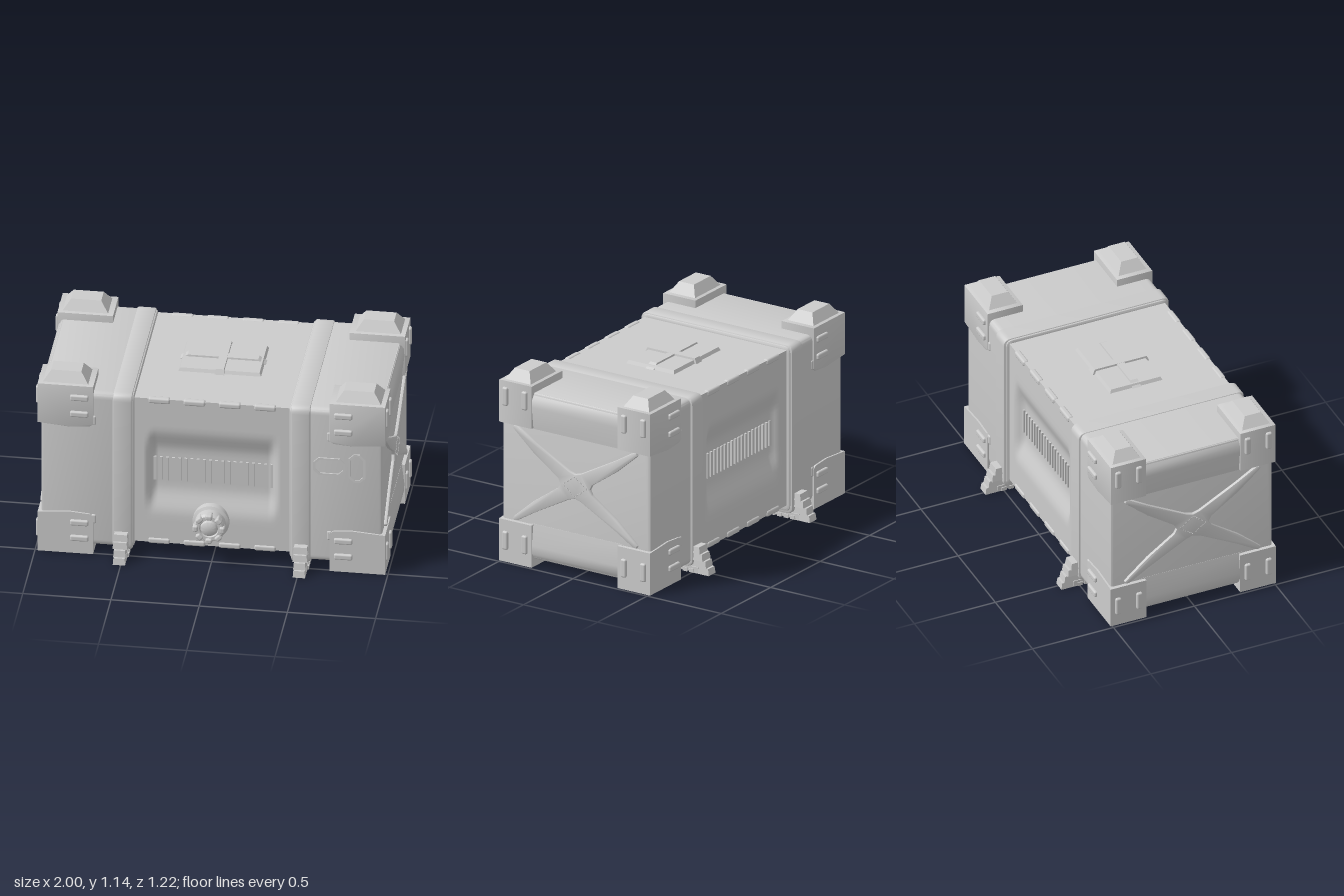
import * as THREE from 'three';
import { toCreasedNormals } from 'three/addons/utils/BufferGeometryUtils.js';
import { RoundedBoxGeometry } from 'three/addons/geometries/RoundedBoxGeometry.js';

const grey = new THREE.MeshStandardMaterial({ color: 0xcccccc });
const inner = new THREE.MeshStandardMaterial({ color: 0xcccccc, side: THREE.BackSide });

function add(parent, name, geo, x = 0, y = 0, z = 0, mat = grey) {
  const m = new THREE.Mesh(geo, mat);
  m.name = name;
  m.position.set(x, y, z);
  parent.add(m);
  return m;
}
const box = (w, h, d) => new THREE.BoxGeometry(w, h, d);
const pill = (w, h, d) => new RoundedBoxGeometry(w, h, d, 2, Math.min(w, h, d) * 0.35);
const polygon = pts => new THREE.Shape(pts.map(p => new THREE.Vector2(p[0], p[1])));

// Extrudes a shape so that the bevelled result spans z = 0..depth
function extrude(shape, depth, bevel = 0) {
  const g = new THREE.ExtrudeGeometry(shape, {
    depth: depth - 2 * bevel, bevelEnabled: bevel > 0, bevelSize: bevel, bevelThickness: bevel,
    bevelOffset: -bevel, bevelSegments: 2, curveSegments: 6,
  });
  g.translate(0, 0, bevel);
  return toCreasedNormals(g, 0.6);
}

// Rounded-rectangle block running along x
function block(x0, x1, y0, y1, halfZ, r, bevel) {
  const s = new THREE.Shape();
  s.moveTo(-halfZ + r, y0);
  s.lineTo(halfZ - r, y0).quadraticCurveTo(halfZ, y0, halfZ, y0 + r);
  s.lineTo(halfZ, y1 - r).quadraticCurveTo(halfZ, y1, halfZ - r, y1);
  s.lineTo(-halfZ + r, y1).quadraticCurveTo(-halfZ, y1, -halfZ, y1 - r);
  s.lineTo(-halfZ, y0 + r).quadraticCurveTo(-halfZ, y0, -halfZ + r, y0);
  return extrude(s, x1 - x0, bevel).rotateY(Math.PI / 2).translate(x0, 0, 0);
}

// Four-sided frustum, base on y = 0
function frustum(w0, d0, w1, d1, h) {
  const g = new THREE.BoxGeometry(1, h, 1).translate(0, h / 2, 0);
  const p = g.attributes.position;
  for (let i = 0; i < p.count; i++) {
    const top = p.getY(i) > h / 2;
    p.setX(i, p.getX(i) * (top ? w1 : w0));
    p.setZ(i, p.getZ(i) * (top ? d1 : d0));
  }
  g.computeVertexNormals();
  return g;
}

// Middle hull with a shallow trough in the front and back
function middleHull() {
  const g = new THREE.BoxGeometry(0.94, 0.93, 0.96, 47, 32, 1).translate(0, 0.555, 0);
  const p = g.attributes.position;
  for (let i = 0; i < p.count; i++) {
    const fx = THREE.MathUtils.smoothstep(0.37 - Math.abs(p.getX(i)), 0, 0.04);
    const fy = THREE.MathUtils.smoothstep(0.28 - Math.abs(p.getY(i) - 0.55), 0, 0.17);
    p.setZ(i, p.getZ(i) - Math.sign(p.getZ(i)) * 0.045 * fx * fy);
  }
  g.computeVertexNormals();
  return g;
}

// Tapered X brace, centred on the origin, facing +x
function crossBrace() {
  const q = [[0.1, 0], [0.115, 0.03], [0.28, 0.145], [0.4, 0.25], [0.42, 0.27], [0.412, 0.285],
    [0.39, 0.283], [0.27, 0.21], [0.04, 0.085], [0, 0.073]];
  const pts = [];
  [[1, 1], [-1, 1], [-1, -1], [1, -1]].forEach(([a, b], k) => {
    const part = q.map(([u, v]) => [u * a, v * b]);
    if (k % 2) part.reverse();
    pts.push(...part.slice(0, -1));
  });
  return extrude(polygon(pts), 0.03, 0.006).rotateY(Math.PI / 2);
}

// Octagonal raised frame
function octagonFrame(w, h, c, t) {
  const ring = (a, b, k) => [[-a + k, -b], [a - k, -b], [a, -b + k], [a, b - k], [a - k, b], [-a + k, b], [-a, b - k], [-a, -b + k]];
  const s = polygon(ring(w / 2, h / 2, c));
  s.holes.push(new THREE.Path(ring(w / 2 - t, h / 2 - t, c - t * 0.4).map(p => new THREE.Vector2(p[0], p[1]))));
  return extrude(s, 0.012);
}

// One end of the case, built toward +x
function buildEnd() {
  const end = new THREE.Group();
  end.name = 'caseEnd';
  add(end, 'endHull', block(0.44, 0.965, 0.05, 1.04, 0.5, 0.04, 0.015));
  add(end, 'strap', block(0.45, 0.56, 0.036, 1.046, 0.512, 0.045, 0.01));

  // Rails between the corner caps
  const rail = [[0.9, 0.485], [0.9, 0.28], [0.966, 0.28], [0.982, 0.41], [0.978, 0.46], [0.955, 0.492]];
  const railGeo = extrude(polygon(rail), 0.62).translate(0, 0, -0.31);
  add(end, 'upperRail', railGeo, 0, 0.548);
  add(end, 'lowerRail', railGeo.clone().rotateX(Math.PI), 0, 0.54);

  // X brace with a stitched diamond
  add(end, 'crossBrace', crossBrace(), 0.953, 0.545);
  for (const a of [1, -1]) for (const b of [1, -1]) for (let i = 0; i < 10; i++) {
    const t = (i + 0.5) / 10;
    add(end, 'diamondStud', box(0.006, 0.006, 0.004), 0.983, 0.545 + b * 0.06 * t, a * 0.08 * (1 - t));
  }

  // Corner caps with their ribs, top pads and bottom sockets
  const capTop = [[0.67, 0.84], [0.69, 0.825], [0.8, 0.816], [0.985, 0.832], [0.985, 1.085], [0.67, 1.085]];
  const capLow = [[0.67, 0.06], [0.985, 0.06], [0.985, 0.252], [0.8, 0.266], [0.69, 0.257], [0.67, 0.24]];
  const socket = polygon([[-0.1575, -0.11], [0.1575, -0.11], [0.1575, 0.11], [-0.1575, 0.11]]);
  socket.holes.push(new THREE.Path([[-0.13, -0.085], [-0.13, 0.085], [0.13, 0.085], [0.13, -0.085]].map(p => new THREE.Vector2(p[0], p[1]))));
  for (const s of [1, -1]) {
    const z = s * 0.4;
    add(end, 'upperCornerCap', extrude(polygon(capTop), 0.22, 0.004), 0, 0, z - 0.11);
    add(end, 'lowerCornerCap', extrude(polygon(capLow), 0.22), 0, 0, z - 0.11);
    add(end, 'topPad', frustum(0.26, 0.175, 0.17, 0.1, 0.062), 0.83, 1.083, z);
    add(end, 'bottomSocketRim', extrude(socket, 0.06).rotateX(-Math.PI / 2), 0.8275, 0, z);
    const pocket = frustum(0.26, 0.17, 0.19, 0.11, 0.059);
    pocket.setIndex(Array.from(pocket.index.array).filter((_, i) => i < 18 || i >= 24));
    add(end, 'bottomSocketPocket', pocket, 0.8275, 0, z, inner);
    for (const y of [0.1, 0.2, 0.905, 1.01]) add(end, 'capFaceRib', pill(0.105, 0.036, 0.03), 0.748, y, s * 0.51);
    for (const y of [0.13, 0.993]) for (const dz of [0.335, 0.465])
      add(end, 'capEndRib', pill(0.03, 0.11, 0.036), 0.985, y, s * dz);
    // Clip beside the cap
    add(end, 'capClip', pill(0.03, 0.06, 0.05), 0.668, 0.865, s * 0.482);
    add(end, 'capClip', pill(0.03, 0.06, 0.05), 0.668, 0.225, s * 0.482);

    // Stepped foot and ribbed skid under the strap
    for (let i = 0; i < 4; i++) {
      const out = 0.612 - i * 0.019;
      add(end, 'footStep', frustum(i < 2 ? 0.07 : 0.085, out - 0.48, i < 2 ? 0.064 : 0.075, out - 0.492, 0.04),
        0.51, i * 0.04, s * (out + 0.48) / 2);
    }
    add(end, 'skidPlate', box(0.075, 0.03, 0.42), 0.51, 0.023, s * 0.33);
    for (let i = 0; i < 9; i++) add(end, 'skidRib', box(0.085, 0.022, 0.03), 0.51, 0.013, s * (0.14 + i * 0.045));
  }
  return end;
}

export function createModel() {
  const model = new THREE.Group();
  model.name = 'storageCase';
  add(model, 'middleHull', middleHull());
  for (const turn of [0, Math.PI]) {
    const end = buildEnd();
    end.rotation.y = turn;
    model.add(end);
  }

  // Grille bars and edge tabs on the front and back
  for (const s of [1, -1]) {
    for (let i = 0; i < 20; i++)
      add(model, 'grilleBar', box(0.016, 0.15, 0.024), -0.328 + i * 0.0348, 0.55, s * 0.434);
    for (const x of [-0.3, -0.1, 0.1, 0.3]) for (const y of [0.1, 1.008])
      add(model, 'edgeTab', pill(0.125, 0.036, 0.036), x, y, s * 0.47);
  }

  // Lid plate with crossed straps
  add(model, 'lidPlate', frustum(0.47, 0.325, 0.45, 0.305, 0.02), -0.003, 1.019, -0.008);
  add(model, 'lidStrapLong', frustum(0.49, 0.055, 0.4, 0.045, 0.03), -0.003, 1.019, -0.008);
  add(model, 'lidStrapShort', frustum(0.058, 0.35, 0.048, 0.32, 0.031), -0.003, 1.019, -0.008);

  // Front valve knob
  const knob = new THREE.Group();
  knob.name = 'valveKnob';
  knob.position.set(-0.005, 0.255, 0.46);
  const profile = [[0, 0], [0.104, 0], [0.104, 0.042], [0.088, 0.05], [0.088, 0.1], [0.078, 0.115],
    [0.055, 0.115], [0.05, 0.105], [0.044, 0.118], [0.03, 0.126], [0, 0.128]];
  const lathe = new THREE.LatheGeometry(profile.map(p => new THREE.Vector2(p[0], p[1])), 32).rotateX(Math.PI / 2);
  add(knob, 'knobBody', toCreasedNormals(lathe, 0.5));
  for (let i = 0; i < 8; i++) {
    const a = i * Math.PI / 4;
    add(knob, 'knobGrip', pill(0.032, 0.04, 0.055), Math.cos(a) * 0.076, Math.sin(a) * 0.076, 0.103).rotation.z = a;
  }
  model.add(knob);

  // Two octagonal frames on the front, on the model's left
  add(model, 'wideFrame', octagonFrame(0.18, 0.11, 0.03, 0.012), 0.667, 0.673, 0.496);
  add(model, 'tallFrame', octagonFrame(0.095, 0.18, 0.03, 0.012), 0.825, 0.673, 0.496);
  return model;
}
